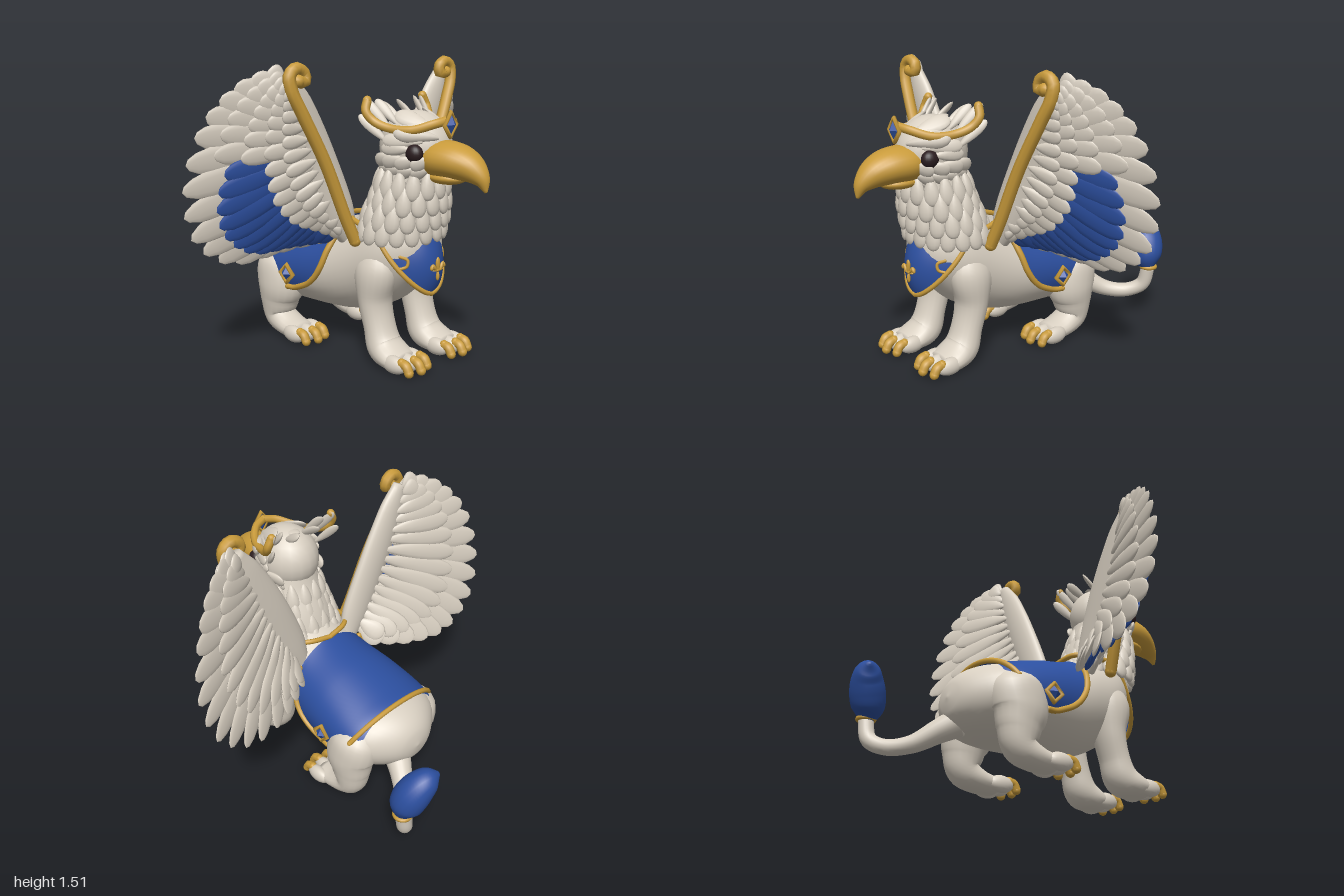
import * as THREE from 'three';
import { mergeGeometries, mergeVertices } from 'three/addons/utils/BufferGeometryUtils.js';

const V = (x, y, z) => new THREE.Vector3(x, y, z);
const mat = (name, color, side = THREE.FrontSide) => Object.assign(new THREE.MeshStandardMaterial({ color, side }), { name });

export function createModel() {
  const model = new THREE.Group();
  const cream = mat('cream', 0xd9d0c2), gold = mat('gold', 0xc99b3b), dark = mat('dark brown', 0x2b1d1f);
  const blue = mat('royal blue', 0x2c4f9f, THREE.DoubleSide);
  const add = (name, geo, material) => {
    const mesh = new THREE.Mesh(Array.isArray(geo) ? mergeGeometries(geo) : geo, material);
    mesh.name = name;
    model.add(mesh);
  };
  const both = (fn) => [1, -1].forEach((s) => fn(s, s > 0 ? 'left' : 'right'));

  // smooth surface from a function of two parameters
  const grid = (fn, nu, nv) => {
    const pos = [], idx = [];
    for (let i = 0; i <= nu; i++) for (let j = 0; j <= nv; j++) pos.push(...fn(i / nu, j / nv, i).toArray());
    for (let i = 0; i < nu; i++) for (let j = 0; j < nv; j++) {
      const a = i * (nv + 1) + j, c = a + nv + 1;
      idx.push(a, a + 1, c, a + 1, c + 1, c);
    }
    let g = new THREE.BufferGeometry();
    g.setAttribute('position', new THREE.Float32BufferAttribute(pos, 3));
    g.setIndex(idx);
    g = mergeVertices(g, 1e-5);
    g.computeVertexNormals();
    return g;
  };
  // limb through rings [x, y, z, radius across, radius deep], never below the ground
  const loft = (rings, n = 24, m = 20) => {
    const path = new THREE.CatmullRomCurve3(rings.map((r) => V(r[0], r[1], r[2])));
    const size = new THREE.CatmullRomCurve3(rings.map((r) => V(r[3], r[4] ?? r[3], 0)), false, 'catmullrom');
    return grid((u, v, i) => {
      const t = Math.min(1, Math.max(0, (i - 1) / (n - 2)));
      const p = path.getPoint(t), r = size.getPoint(t), T = path.getTangent(t);
      if (i === 0 || i === n) return p;
      const S = V(1, 0, 0).addScaledVector(T, -T.x).normalize(), N = T.clone().cross(S), a = (v % 1) * Math.PI * 2;
      p.addScaledVector(S, r.x * Math.cos(a)).addScaledVector(N, r.y * Math.sin(a));
      return p.setY(Math.max(p.y, 0));
    }, n, m);
  };
  // cord with rounded ends
  const cord = (pts, r) => {
    const ps = pts.map((p) => (p.isVector3 ? p : V(...p)));
    const ends = [ps[0], ps[ps.length - 1]].map((p) => new THREE.SphereGeometry(r, 10, 8).translate(p.x, p.y, p.z));
    return mergeGeometries([new THREE.TubeGeometry(new THREE.CatmullRomCurve3(ps), 50, r, 8), ...ends]);
  };
  const ball = (x, y, z, a, b, c) => new THREE.SphereGeometry(1, 20, 14).scale(a, b, c).translate(x, y, z);
  // flat feather with a blunt tip, facing the normal
  const feather = (root, tip, half, thick, normal) => {
    const g = new THREE.SphereGeometry(1, 12, 10), p = g.attributes.position;
    for (let i = 0; i < p.count; i++) {
      const s = (p.getY(i) + 1) / 2;
      p.setXYZ(i, p.getX(i) * half * (0.45 + 0.7 * s), s, p.getZ(i) * thick);
    }
    const D = tip.clone().sub(root), d = D.clone().normalize();
    const X = d.clone().cross(normal).normalize(), Z = X.clone().cross(d);
    g.applyMatrix4(new THREE.Matrix4().makeBasis(X, D, Z).setPosition(root));
    g.computeVertexNormals();
    return g;
  };
  // cubic interpolation of keyed rows [x, values...]
  const at = (k, x, c) => {
    let i = 0;
    while (i < k.length - 2 && x > k[i + 1][0]) i++;
    const slope = (j) => {
      const a = k[Math.max(0, j - 1)], b = k[Math.min(k.length - 1, j + 1)];
      return (b[c] - a[c]) / (b[0] - a[0]);
    };
    const h = k[i + 1][0] - k[i][0], t = (x - k[i][0]) / h, t2 = t * t, t3 = t2 * t;
    return (2 * t3 - 3 * t2 + 1) * k[i][c] + (t3 - 2 * t2 + t) * h * slope(i)
      + (3 * t2 - 2 * t3) * k[i + 1][c] + (t3 - t2) * h * slope(i + 1);
  };

  // body: keyed by z with centre height, half width, half height
  const bodyKeys = [[-.545, .36, 0, 0], [-.53, .36, .09, .075], [-.48, .365, .18, .135], [-.4, .37, .265, .175],
    [-.3, .375, .305, .2], [-.1, .405, .3, .235], [.1, .435, .275, .255], [.25, .49, .25, .27],
    [.4, .55, .225, .25], [.5, .58, .17, .175], [.565, .59, .1, .11], [.595, .59, 0, 0]];
  const onBody = (z, a, off = 0) => V((at(bodyKeys, z, 2) + off) * Math.sin(a),
    at(bodyKeys, z, 1) + (at(bodyKeys, z, 3) + off) * Math.cos(a), z);
  add('body', grid((u, v) => onBody(.025 + .57 * Math.cos(Math.PI * u), (v % 1) * Math.PI * 2), 44, 36), cream);

  // saddle blanket with cord edges and side brooches
  const hem = [[-.39, 1.1], [-.35, 1.25], [-.29, 1.45], [-.22, 1.75], [-.16, 1.98], [-.08, 1.95], [.03, 1.75], [.1, 1.4], [.13, .9]];
  add('saddleBlanket', grid((u, v) => onBody(.13 - .52 * u, (v * 2 - 1) * at(hem, .13 - .52 * u, 1), .012), 30, 36), blue);
  const arc = Array.from({ length: 13 }, (_, i) => i / 6 - 1);
  add('blanketRearTrim', cord(arc.map((q) => onBody(-.4 + .06 * q * q, q * 1.3, .02)), .014), gold);
  both((s, side) => {
    add(side + 'BlanketTrim', cord([.13, .115, .09, .05, 0, -.06, -.11, -.16].map((z) => onBody(z, s * at(hem, z, 1), .016)), .016), gold);
    add(side + 'BroochFrame', new THREE.TorusGeometry(.048, .014, 6, 4).rotateY(Math.PI / 2).translate(s * .318, .38, -.14), gold);
    add(side + 'BroochGem', new THREE.OctahedronGeometry(1).scale(.03, .042, .042).translate(s * .318, .38, -.14), blue);
  });

  // legs running into feet, with toes and claws
  both((s, side) => {
    const toes = (name, x, z) => {
      const pads = [], claws = [];
      [-1, 0, 1].forEach((i) => {
        const tx = x + i * .068, tz = z - Math.abs(i) * .02;
        pads.push(ball(tx, .047, tz, .037, .045, .075));
        claws.push(cord([[tx, .068, tz + .05], [tx, .06, tz + .08], [tx, .03, tz + .098]], .024));
      });
      add(side + name + 'Toes', pads, cream);
      add(side + name + 'Claws', claws, gold);
    };
    add(side + 'FrontLeg', loft([[s * .15, .58, .36, .06, .08], [s * .165, .47, .36, .095, .115], [s * .16, .32, .355, .092, .085],
      [s * .158, .19, .385, .088, .075], [s * .16, .09, .425, .096, .085], [s * .165, .055, .5, .105, .062], [s * .165, .045, .57, .09, .045]], 36), cream);
    toes('Front', s * .165, .57);
    add(side + 'HindLeg', loft([[s * .19, .47, -.31, .06, .08], [s * .21, .39, -.3, .125, .14], [s * .235, .28, -.28, .118, .145],
      [s * .24, .19, -.29, .1, .115], [s * .24, .1, -.285, .085, .085], [s * .24, .058, -.2, .088, .06], [s * .24, .045, -.09, .085, .045]], 36), cream);
    toes('Hind', s * .24, -.08);
  });

  // tail, band and tuft
  add('tail', loft([[.05, .27, -.44, .075], [.1, .22, -.52, .06], [.18, .155, -.62, .045], [.27, .145, -.71, .04],
    [.34, .19, -.77, .04], [.37, .3, -.78, .038]], 36), cream);
  add('tailBand', new THREE.TorusGeometry(.04, .012, 8, 20).rotateX(Math.PI / 2).translate(.37, .3, -.78), gold);
  add('tailTuft', loft([[.37, .29, -.775, .035], [.355, .35, -.78, .08], [.335, .42, -.8, .09], [.3, .48, -.825, .08],
    [.255, .515, -.845, .058], [.215, .53, -.86, .01]], 30), blue);

  // neck and hanging ruff feathers
  add('neck', loft([[0, .6, .37, .21, .19], [0, .75, .39, .2, .18], [0, .9, .435, .17, .165], [0, 1.05, .46, .14, .15]]), cream);
  const ruff = [];
  [[1.0, .46, .155, .15], [.92, .445, .178, .16], [.84, .42, .2, .168], [.77, .395, .212, .172]].forEach(([y, z, rx, rz], k) => {
    const n = 15 + k;
    for (let i = 0; i < n; i++) {
      const a = ((i + (k % 2) / 2) / n) * Math.PI * 2, d = V(Math.sin(a), 0, Math.cos(a));
      const root = V(rx * d.x, y, z + rz * d.z);
      ruff.push(feather(root, root.clone().addScaledVector(d, .035).add(V(0, -.15, -.015)), .045, .026, d));
    }
  });
  add('ruff', ruff, cream);

  // head with cheek, brow and crest feathers
  add('head', ball(0, 1.09, .47, .165, .18, .19), cream);
  const onHead = (az, el, k = 1) => V(Math.sin(az) * Math.cos(el) * .165 * k, 1.09 + Math.sin(el) * .18 * k,
    .47 + Math.cos(az) * Math.cos(el) * .19 * k);
  const plume = (s, a, e, a2, e2, k, w, t = .018) => feather(onHead(s * a, e), onHead(s * a2, e2, k), w, t,
    onHead(s * (a + a2) / 2, (e + e2) / 2).sub(V(0, 1.09, .47)));
  const crest = [plume(1, 0, .75, 0, 2.1, 1.08, .05)];
  both((s, side) => {
    [-.2, -.48, -.76].forEach((e, r) => [.45, .85, 1.25, 1.65].forEach((a) =>
      crest.push(plume(s, a + r * .08, e, a + .62, e - .14, 1.17, .042))));
    crest.push(plume(s, .25, .33, 1.5, .42, 1.24, .05, .035), plume(s, .75, .25, 1.8, .22, 1.2, .042),
      plume(s, .35, .6, 1.9, .95, 1.15, .055), plume(s, 1.05, .05, 1.85, .02, 1.16, .038));
    [[.15, 1.16, .46, .205, 1.33, .31], [.11, 1.2, .45, .14, 1.32, .33], [.16, 1.12, .43, .225, 1.25, .3], [.05, 1.22, .42, .07, 1.3, .28]]
      .forEach((c) => crest.push(feather(V(s * c[0], c[1], c[2]), V(s * c[3], c[4], c[5]), .03, .014, V(s * .7, .5, .3))));
    add(side + 'Eye', ball(s * .132, 1.08, .572, .038, .045, .045), dark);
  });
  add('headFeathers', crest, cream);

  // beak
  add('upperBeak', loft([[0, 1.045, .56, .105, .08], [0, 1.05, .64, .122, .09], [0, 1.045, .73, .11, .085],
    [0, 1.02, .81, .078, .068], [0, .975, .868, .04, .04], [0, .92, .893, .006, .008]], 30, 24), gold);
  add('lowerBeak', ball(0, .965, .66, .08, .035, .11), gold);

  // circlet with gem
  both((s, side) => add(side + 'Circlet', cord([[0, 1.235, .665], [s * .07, 1.22, .64], [s * .14, 1.19, .56], [s * .18, 1.195, .45],
    [s * .208, 1.225, .38], [s * .225, 1.27, .345], [s * .205, 1.32, .335]], .022), gold));
  add('circletFrame', new THREE.TorusGeometry(.052, .012, 6, 4).scale(.85, 1.1, 1).translate(0, 1.215, .678), gold);
  add('circletGem', new THREE.OctahedronGeometry(1).scale(.045, .058, .028).translate(0, 1.215, .678), blue);

  // breast bib, its trim, strap and petal ornament
  const bib = (q, v) => {
    const y = .68 - .315 * v, x = q * .205 * Math.pow(1 - Math.pow(v, 2.2), .68);
    return V(x, y, .62 - .035 * ((y - .5) / .14) ** 2 - 4 * x * x);
  };
  add('bib', grid((u, v) => bib(v * 2 - 1, u), 24, 24), blue);
  both((s, side) => {
    add(side + 'BibTrim', cord([0, .2, .4, .6, .75, .88, .96, 1].map((v) => bib(s, v)), .013), gold);
    add(side + 'BibScroll', cord([bib(s, .55), bib(s * .8, .5), bib(s * .72, .4), bib(s * .82, .35)], .008), gold);
    add(side + 'NeckStrap', cord([[s * .2, .68, .44], [s * .215, .7, .34], [s * .19, .72, .22], [s * .12, .73, .15], [0, .715, .13]], .014), gold);
  });
  const petal = (x, y, x2, y2, w) => feather(V(x, y, .624), V(x2, y2, .624), w, .01, V(0, 0, 1));
  add('bibOrnament', [petal(0, .48, 0, .56, .016), petal(0, .49, 0, .44, .01), petal(-.04, .495, .04, .495, .008),
    ...[1, -1].flatMap((s) => [petal(s * .012, .49, s * .042, .53, .012), petal(s * .042, .53, s * .05, .5, .009)])], gold);

  // wings
  both((s, side) => {
    const P = (p) => V(s * p[0], p[1], p[2]);
    add(side + 'WingArm', loft([[.17, .6, .18, .05, .04], [.25, .76, .18, .1, .05], [.38, 1.05, .17, .105, .045],
      [.5, 1.3, .17, .085, .04], [.56, 1.43, .17, .04, .03]].map((r) => [s * r[0], ...r.slice(1)])), cream);
    add(side + 'WingCord', cord([[.25, .63, .3], [.3, .75, .285], [.41, 1.03, .26], [.53, 1.27, .235], [.582, 1.38, .22], [.585, 1.45, .212],
      [.54, 1.478, .21], [.495, 1.45, .21], [.5, 1.415, .215], [.54, 1.42, .22]].map(P), .031), gold);
    const N = V(s * .33, -.13, .93).normalize();
    const rim = new THREE.CatmullRomCurve3([[.31, .6, .02], [.5, .55, -.07], [.74, .53, -.1], [.93, .67, -.1], [.995, .94, -.07],
      [.925, 1.22, -.02], [.8, 1.38, .05], [.65, 1.45, .12]].map(P));
    const row = (name, n, t0, t1, reach, drop, off, half, material) => {
      const set = [];
      for (let i = 0; i < n; i++) {
        const u = i / (n - 1), t = t0 + (t1 - t0) * u;
        const root = P([.24 + .32 * t, .68 + .72 * t, .17 - .02 * t]);
        const tip = root.clone().lerp(rim.getPoint(t), reach * (1 - drop * u ** 6)).addScaledVector(N, off);
        set.push(feather(root.addScaledVector(N, off * .7 + (i % 2) * .006), tip, half, .016, N));
      }
      add(side + name, set, material);
    };
    row('FlightFeathers', 17, 0, 1, 1, 0, 0, .08, cream);
    row('RearCoverts', 15, .03, .98, .72, 0, -.025, .065, cream);
    row('BlueFeathers', 13, .01, .58, .82, .15, .034, .07, blue);
    row('UpperFeathers', 7, .64, .98, .8, 0, .03, .068, cream);
    row('MiddleFeathers', 7, .62, .97, .58, 0, .046, .058, cream);
    row('FrontCoverts', 15, .01, .96, .4, 0, .06, .052, cream);
    row('SmallCoverts', 14, .02, .94, .25, 0, .07, .042, cream);
  });
  return model;
}
